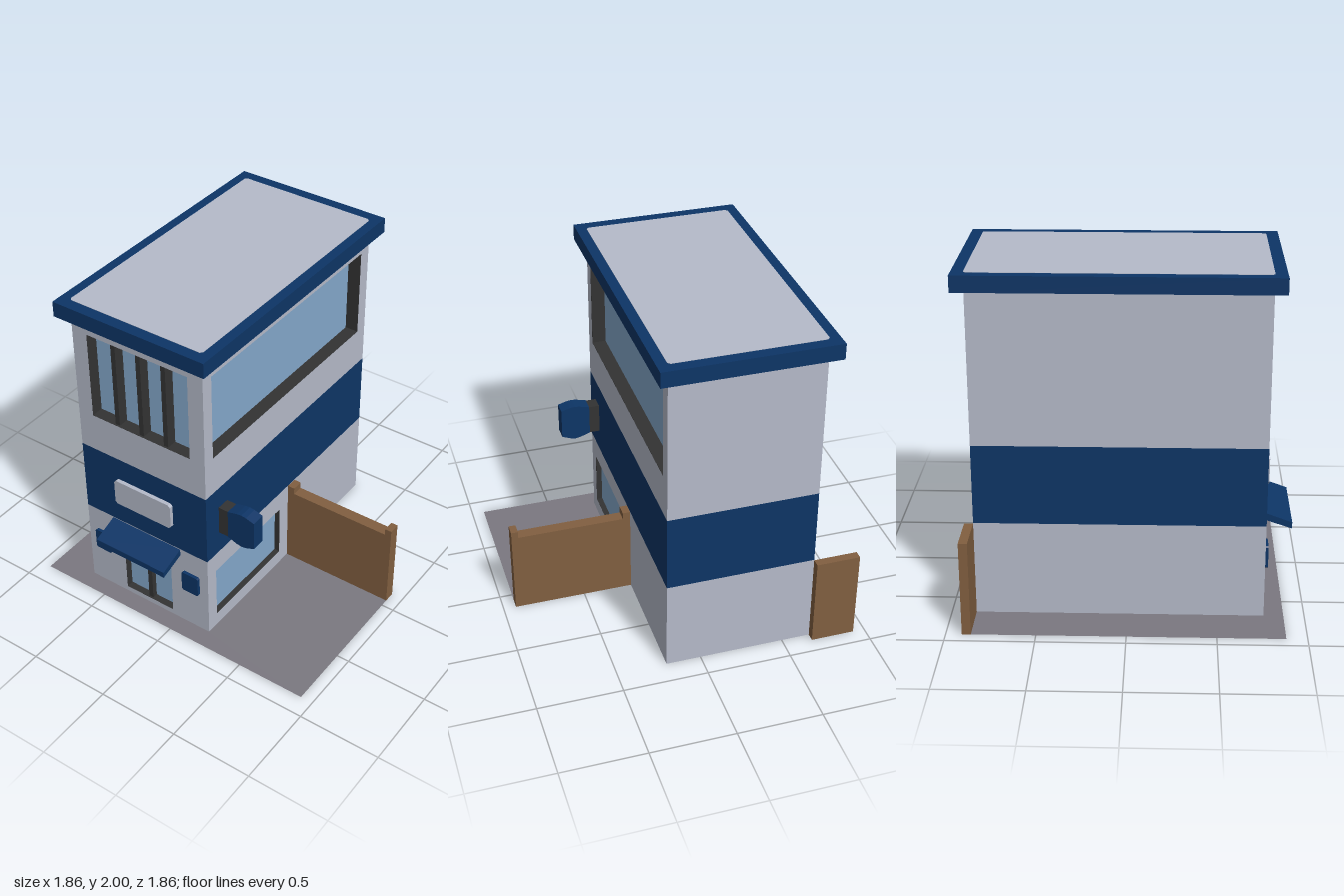
import * as THREE from 'three';

const mat = (name, color, side = THREE.FrontSide) => {
  const m = new THREE.MeshStandardMaterial({ color, side });
  m.name = name;
  return m;
};

export function createModel() {
  const wall = mat('pale grey wall', 0xb5bac9, THREE.DoubleSide);
  const blue = mat('navy blue', 0x0d3566, THREE.DoubleSide);
  const glass = mat('light blue glass', 0x84a8cb, THREE.DoubleSide);
  const dark = mat('charcoal frame', 0x333333);
  const wood = mat('brown fence', 0x815f40);
  const paving = mat('grey paving', 0x7b7880, THREE.DoubleSide);

  const root = new THREE.Group();
  root.name = 'shopBuilding';

  const add = (parent, name, geometry, material) => {
    const m = new THREE.Mesh(geometry, material);
    m.name = name;
    parent.add(m);
    return m;
  };
  // Box given by its minimum and maximum corners
  const box = (parent, name, material, x0, x1, y0, y1, z0, z1) => {
    const m = add(parent, name, new THREE.BoxGeometry(x1 - x0, y1 - y0, z1 - z0), material);
    m.position.set((x0 + x1) / 2, (y0 + y1) / 2, (z0 + z1) / 2);
    return m;
  };
  const poly = (pts) => new THREE.Shape(pts.map(([x, y]) => new THREE.Vector2(x, y)));
  const rect = ([x0, x1, y0, y1]) => poly([[x0, y0], [x1, y0], [x1, y1], [x0, y1]]);
  // Rectangle with slightly clipped corners
  const clipped = ([x0, x1, y0, y1], c) => poly([
    [x0 + c, y0], [x1 - c, y0], [x1, y0 + c], [x1, y1 - c],
    [x1 - c, y1], [x0 + c, y1], [x0, y1 - c], [x0, y0 + c]]);
  const plate = (parent, name, material, shape, depth) =>
    add(parent, name, new THREE.ExtrudeGeometry(shape, { depth, bevelEnabled: false }), material);

  // Building outline
  const L = -0.67, R = 0.205, B = -0.86, F = 0.77;
  const cx = (L + R) / 2, cz = (B + F) / 2;
  const BAND0 = 0.558, BAND1 = 1.022, TOP = 1.905;

  // One side: three storeys of flat wall with openings, in a local frame facing +z
  const facade = (name, x0, x1, lowerHoles = [], upperHoles = []) => {
    const g = new THREE.Group();
    g.name = name;
    const storeys = [
      ['lowerWall', 0, BAND0, wall, lowerHoles],
      ['blueBand', BAND0, BAND1, blue, []],
      ['upperWall', BAND1, TOP, wall, upperHoles]];
    for (const [part, y0, y1, material, holes] of storeys) {
      const s = rect([x0, x1, y0, y1]);
      s.holes = holes.map(rect);
      add(g, part, new THREE.ShapeGeometry(s), material);
    }
    root.add(g);
    return g;
  };

  // Recessed glass with dark reveals and optional mullions
  const window_ = (parent, name, [x0, x1, y0, y1], depth, mullions = []) => {
    const g = new THREE.Group();
    g.name = name;
    parent.add(g);
    const t = 0.004, front = -0.001;
    const pane = add(g, 'glassPane', new THREE.PlaneGeometry(x1 - x0, y1 - y0), glass);
    pane.position.set((x0 + x1) / 2, (y0 + y1) / 2, -depth);
    box(g, 'leftReveal', dark, x0 - t, x0, y0, y1, -depth, front);
    box(g, 'rightReveal', dark, x1, x1 + t, y0, y1, -depth, front);
    box(g, 'sill', dark, x0 - t, x1 + t, y0 - t, y0, -depth, front);
    box(g, 'lintel', dark, x0 - t, x1 + t, y1, y1 + t, -depth, front);
    for (const x of mullions) {
      box(g, 'mullion', dark, x - 0.015, x + 0.015, y0, y1, -depth - 0.002, -0.012);
    }
  };

  // Front side
  const door = [-0.405, -0.06, 0.035, 0.475];
  const frontWindow = [-0.57, 0.105, 1.265, 1.81];
  const signs = [[-0.61, -0.495, 0.27, 0.405], [0.03, 0.145, 0.27, 0.405]];
  const front = facade('frontSide', L, R, [door, ...signs], [frontWindow]);
  front.position.z = F;
  window_(front, 'door', door, 0.045, [-0.233]);
  window_(front, 'upperFrontWindow', frontWindow, 0.075, [-0.402, -0.233, -0.065]);
  for (const s of signs) plate(front, 'smallWallPanel', blue, clipped(s, 0.008), 0.02);
  plate(front, 'signBoard', wall, clipped([-0.43, -0.03, 0.708, 0.876], 0.014), 0.024);

  // Right side: local x runs towards -z
  const shopWindow = [-0.69, -0.04, 0.09, 0.43];
  const sideWindow = [-0.695, 0.78, 1.265, 1.81];
  const side = facade('sideWithWindows', -F, -B, [shopWindow], [sideWindow]);
  side.rotation.y = Math.PI / 2;
  side.position.x = R;
  window_(side, 'shopWindow', shopWindow, 0.035);
  window_(side, 'upperSideWindow', sideWindow, 0.083);

  // Plain back and blind side
  const back = facade('backSide', -R, -L);
  back.rotation.y = Math.PI;
  back.position.z = B;
  const blind = facade('blindSide', B, F);
  blind.rotation.y = -Math.PI / 2;
  blind.position.x = L;

  // Roof slab and its pale top panel
  box(root, 'roofSlab', blue, -0.73, 0.265, TOP, 1.998, -0.928, 0.838);
  const panel = plate(root, 'roofPanel', wall,
    clipped([-(R - L) / 2, (R - L) / 2, -(F - B) / 2, (F - B) / 2], 0.014), 0.003);
  panel.rotation.x = -Math.PI / 2;
  panel.position.set(cx, 1.997, cz);

  // Sloping awning: profile in z and y, swept across x
  const awning = plate(root, 'awning', blue,
    poly([[-0.77, 0.51], [-0.77, 0.553], [-0.928, 0.495], [-0.928, 0.457]]), 0.49);
  awning.rotation.y = Math.PI / 2;
  awning.position.x = -0.478;

  // Projecting sign on a dark bracket
  box(root, 'signBracket', dark, R, 0.272, 0.70, 0.884, 0.572, 0.653);
  const hanging = plate(root, 'projectingSign', blue, poly([
    [0.268, 0.70], [0.33, 0.678], [0.36, 0.673], [0.39, 0.678], [0.445, 0.70],
    [0.445, 0.885], [0.39, 0.901], [0.36, 0.905], [0.33, 0.901], [0.268, 0.885]]), 0.085);
  hanging.position.z = 0.57;

  // Fences
  const fence = plate(root, 'sideFence', wood, poly([
    [R, 0], [0.925, 0], [0.925, 0.555], [0.884, 0.555],
    [0.884, 0.513], [0.25, 0.513], [0.25, 0.555], [R, 0.555]]), 0.07);
  fence.position.z = -0.117;
  box(root, 'rearFence', wood, -0.93, L, 0, 0.555, -0.91, B);

  // Paving around the building, with shape y standing for -z
  const ground = add(root, 'paving', new THREE.ShapeGeometry(poly([
    [-0.93, -0.882], [0.925, -0.882], [0.925, 0.05], [R, 0.05],
    [R, -F], [L, -F], [L, -B], [-0.93, -B]])), paving);
  ground.rotation.x = -Math.PI / 2;
  ground.position.y = 0.001;

  return root;
}
